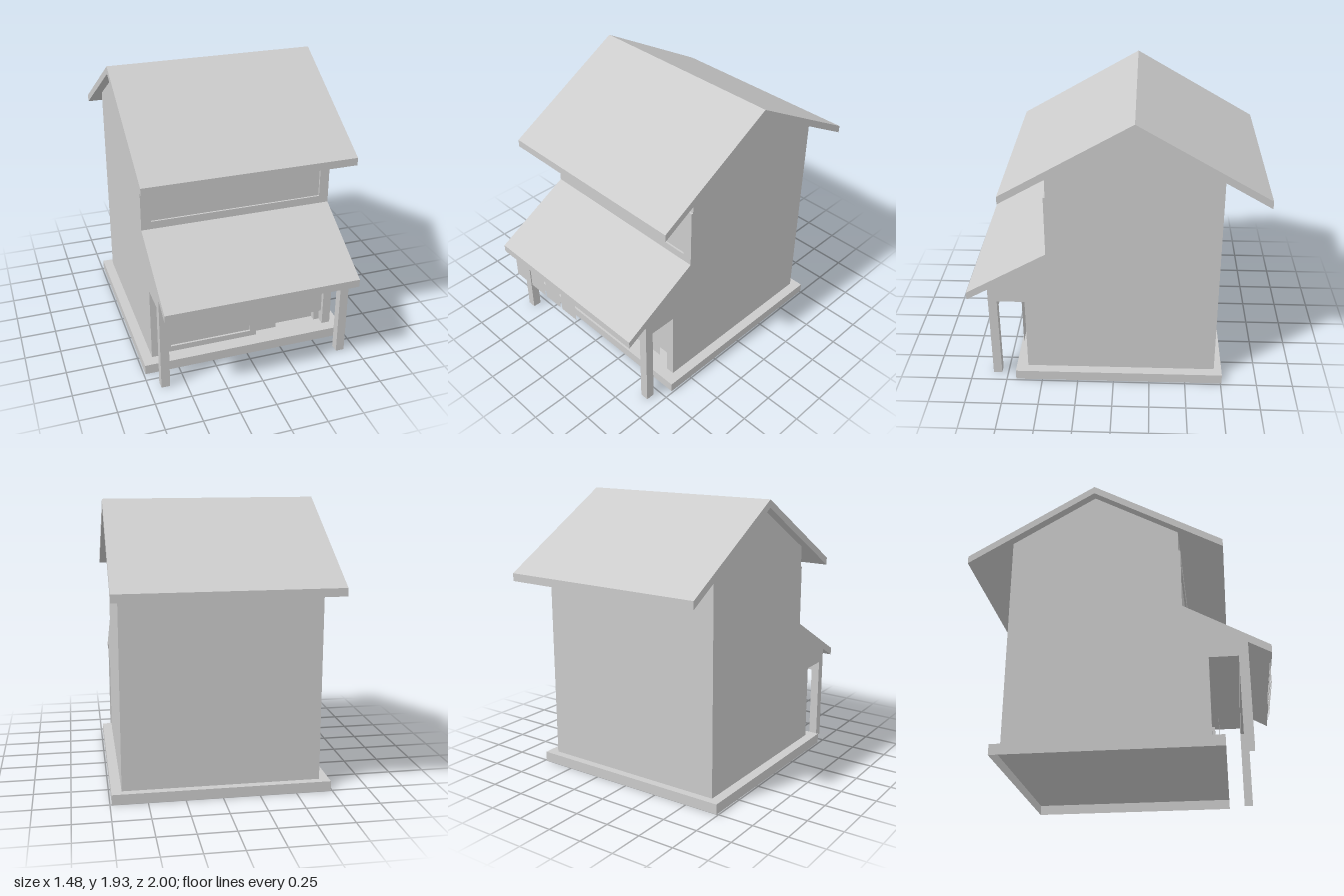
import * as THREE from 'three';

export function createModel() {
  const house = new THREE.Group();
  const mat = new THREE.MeshStandardMaterial({ color: 0xcccccc, flatShading: true });
  const thinMat = new THREE.MeshStandardMaterial({ color: 0xcccccc, side: THREE.DoubleSide });

  const add = (name, geometry, material = mat) => {
    const mesh = new THREE.Mesh(geometry, material);
    mesh.name = name;
    house.add(mesh);
    return mesh;
  };

  // Box given by its limits on each axis
  const box = (name, x0, x1, y0, y1, z0, z1) => {
    const mesh = add(name, new THREE.BoxGeometry(x1 - x0, y1 - y0, z1 - z0));
    mesh.position.set((x0 + x1) / 2, (y0 + y1) / 2, (z0 + z1) / 2);
    return mesh;
  };

  // Box without its underside
  const openBox = (...args) => {
    const mesh = box(...args);
    const index = [...mesh.geometry.index.array];
    index.splice(18, 6);
    mesh.geometry.setIndex(index);
    mesh.geometry.clearGroups();
    mesh.material = thinMat;
  };

  // Side profile of [z, y] points, extruded along x
  const profile = (name, points, width) => {
    const shape = new THREE.Shape(points.map(([z, y]) => new THREE.Vector2(z, y)));
    const geo = new THREE.ExtrudeGeometry(shape, { depth: width, bevelEnabled: false });
    add(name, geo.translate(0, 0, -width / 2).rotateY(-Math.PI / 2));
  };

  // Rectangular frame in the front plane with a rectangular hole
  const frame = (name, [x0, x1, y0, y1], [a0, a1, b0, b1], z0, z1) => {
    const rect = (Type, l, r, b, t) => new Type([[l, b], [r, b], [r, t], [l, t]]
      .map(([x, y]) => new THREE.Vector2(x, y)));
    const shape = rect(THREE.Shape, x0, x1, y0, y1);
    shape.holes.push(rect(THREE.Path, a0, a1, b0, b1));
    const geo = new THREE.ExtrudeGeometry(shape, { depth: z1 - z0, bevelEnabled: false });
    add(name, geo.translate(0, 0, z0));
  };

  // Flat hanging cloth
  const cloth = (name, x0, x1, y0, y1, z) =>
    add(name, new THREE.PlaneGeometry(x1 - x0, y1 - y0), thinMat)
      .position.set((x0 + x1) / 2, (y0 + y1) / 2, z);

  // Hollow base slab
  openBox('plinth', -0.738, 0.738, 0, 0.07, -0.757, 0.685);

  // Two-storey body, with the porch ceiling over the set-back shop front
  profile('body', [
    [-0.704, 0.07], [0.50, 0.07], [0.50, 0.607], [0.80, 0.607], [0.80, 0.74],
    [0.435, 0.955], [0.435, 1.55], [-0.133, 1.878], [-0.704, 1.548],
  ], 1.34);

  // Main gable roof
  profile('mainRoof', [
    [0.733, 1.382], [0.733, 1.435], [-0.133, 1.935], [-1, 1.435],
    [-1, 1.382], [-0.133, 1.882],
  ], 1.454);

  // Lean-to roof over the shop front
  profile('porchRoof', [[0.435, 0.935], [1, 0.618], [1, 0.672], [0.435, 0.993]], 1.34);

  // Porch posts and shop-front piers, mirrored
  for (const s of [-1, 1]) {
    const x0 = s * 0.64 - 0.03, x1 = s * 0.64 + 0.03;
    openBox('porchPost', x0, x1, 0, 0.73, 0.795, 0.855);
    box('shopPier', x0, x1, 0.07, 0.607, 0.50, 0.605);
  }
  // Beam between the posts
  box('porchBeam', -0.61, 0.61, 0.54, 0.73, 0.795, 0.855);

  // Upper window band
  frame('upperWindowFrame', [-0.67, 0.67, 0.985, 1.405], [-0.603, 0.603, 1.04, 1.341], 0.43, 0.448);

  // Shop wall around the door recess
  box('shopWall', -0.61, 0.27, 0.07, 0.607, 0.50, 0.545);
  box('doorJamb', 0.57, 0.61, 0.07, 0.607, 0.50, 0.545);
  box('doorLintel', 0.27, 0.57, 0.54, 0.607, 0.50, 0.545);

  // Shop window
  frame('shopWindowFrame', [-0.572, 0.103, 0.07, 0.54], [-0.528, 0.057, 0.112, 0.5], 0.54, 0.585);
  box('shopWindowPane', -0.53, 0.06, 0.11, 0.502, 0.54, 0.57);

  // Two cloth panels before the door
  for (const x of [0.163, 0.378]) cloth('doorCurtain', x, x + 0.2, 0.21, 0.56, 0.64);

  // Short cloths hanging from the eave
  for (let i = 0; i < 4; i++) {
    const x = -0.553 + i * 0.171;
    cloth('eaveCloth', x, x + 0.153, 0.468, 0.625, 0.99);
  }
  return house;
}
